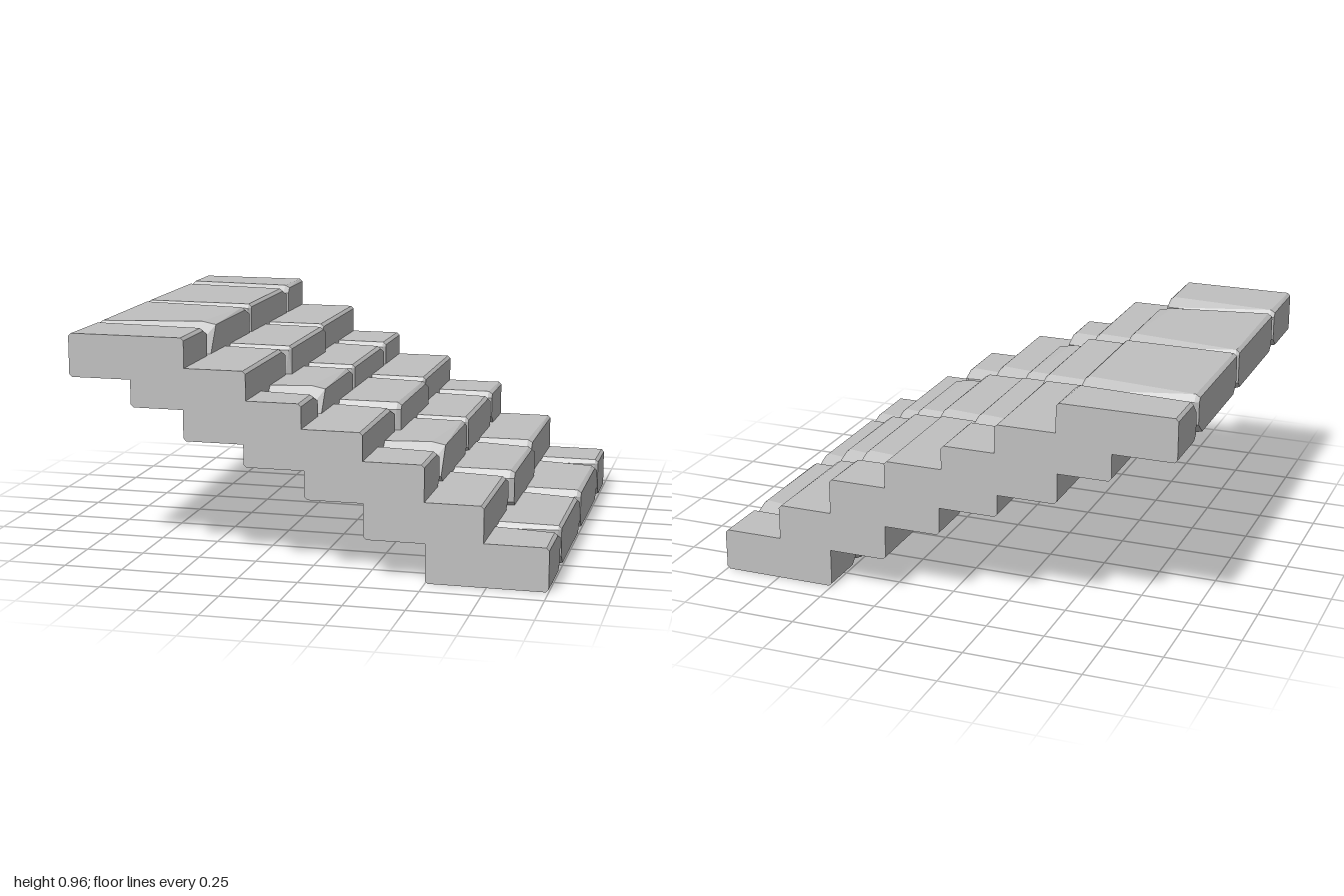
import * as THREE from 'three';
import { ConvexGeometry } from 'three/addons/geometries/ConvexGeometry.js';

const END = 0.89; // half depth, where the outer blocks are cut flat

// Steps from the lowest up: x range, y range, joints between blocks (z)
const STEPS = [
  { x: [0.5, 1.0], y: [0, 0.182], joints: [-0.64, -0.035, 0.565] },
  { x: [0.245, 0.737], y: [0.165, 0.335], joints: [-0.3, 0.295] },
  { x: [0, 0.495], y: [0.315, 0.488], joints: [-0.615, -0.025, 0.573] },
  { x: [-0.255, 0.242], y: [0.435, 0.606], joints: [-0.3, 0.297] },
  { x: [-0.51, -0.012], y: [0.53, 0.71], joints: [-0.58, 0.02, 0.615] },
  { x: [-0.735, -0.243], y: [0.66, 0.832], joints: [-0.305, 0.295] },
  { x: [-1, -0.503], y: [0.775, 0.957], joints: [-0.625, -0.025, 0.573] },
];

function seeded(seed) {
  return () => {
    seed = (seed * 16807) % 2147483647;
    return seed / 2147483647;
  };
}

// Box with every corner cut back; chip(sx, sy, sz) gives the cut along x, y, z
function chippedBlock(x, y, z, chip) {
  const points = [];
  for (const i of [0, 1]) for (const j of [0, 1]) for (const k of [0, 1]) {
    const sx = i * 2 - 1, sy = j * 2 - 1, sz = k * 2 - 1;
    const [cx, cy, cz, deep] = chip(sx, sy, sz);
    const b = Math.min(cz, 0.012);
    const X = x[i], Y = y[j], Z = z[k];
    points.push(
      new THREE.Vector3(X, Y - sy * cy, Z - sz * (deep ? cz : b)),
      new THREE.Vector3(X, Y - sy * 0.012, Z - sz * cz),
      new THREE.Vector3(X - sx * cx, Y, Z - sz * cz),
      new THREE.Vector3(X - sx * cx, Y - sy * cy, Z - sz * 0.001 * (cz > 0 ? 1 : 0)),
    );
  }
  return new ConvexGeometry(points);
}

export function createModel() {
  const model = new THREE.Group();
  model.name = 'stoneStairs';
  const stone = new THREE.MeshStandardMaterial({ color: 0xc0c0c0 });
  stone.name = 'grey stone';
  const random = seeded(71);

  STEPS.forEach((step, row) => {
    const group = new THREE.Group();
    group.name = `step${row + 1}`;
    const cuts = [-END, ...step.joints, END];
    const last = cuts.length - 2;

    for (let n = 0; n <= last; n++) {
      const z0 = n === 0 ? -END : cuts[n] + 0.005;
      const z1 = n === last ? END : cuts[n + 1] - 0.005;
      // The middle block of three sits slightly forward
      const shift = last === 2 && n === 1 ? 0.02 : 0;
      const x = step.x.map((v) => v + shift);

      const chip = (sx, sy, sz) => {
        const r = random();
        const outer = (n === 0 && sz < 0) || (n === last && sz > 0);
        if (outer) return [0.012, 0.012, 0];
        // Broken front top corner on the wide blocks
        if (last === 3 && n === 2 && row > 1 && sx > 0 && sy > 0 && sz > 0) return [0.06, 0.1, 0.1, true];
        // Broken rear corner on the top step
        if (row === 6 && n === 0 && sx < 0 && sy > 0) return [0.012, 0.06, 0.06];
        // Wedge worn off the far top corner of each tread
        if (sx > 0 && sy > 0 && sz < 0) return [0.014, 0.03 + 0.015 * r, 0.05 + 0.06 * r];
        // Rounded underside
        if (sy < 0) return [0.02 + 0.03 * r, 0.03 + 0.03 * r, 0.03 + 0.04 * r];
        return [0.012 + 0.01 * r, 0.015 + 0.02 * r, 0.012 + 0.02 * r];
      };

      const block = new THREE.Mesh(chippedBlock(x, step.y, [z0, z1], chip), stone);
      block.name = `stoneBlock${n + 1}`;
      group.add(block);
    }
    model.add(group);
  });
  return model;
}
